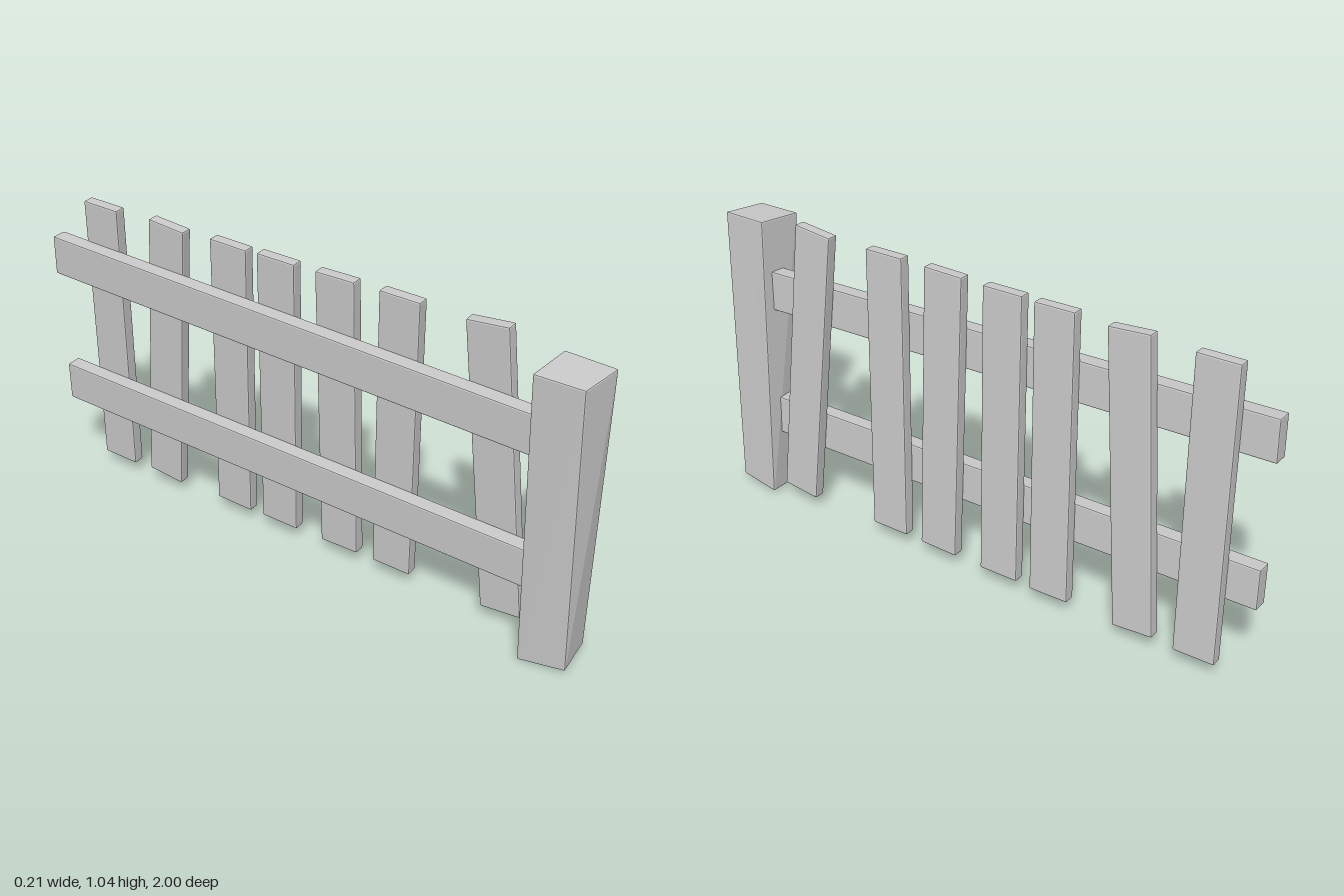
import * as THREE from 'three';
import { RoundedBoxGeometry } from 'three/addons/geometries/RoundedBoxGeometry.js';

const material = new THREE.MeshStandardMaterial({ color: 0xcccccc, flatShading: true });
const v = (x, y, z) => new THREE.Vector3(x, y, z);

// Soft-edged board running between two end centres; hint gives its width direction
function board(name, from, to, width, thickness, hint) {
  const along = to.clone().sub(from);
  const length = along.length();
  along.normalize();
  const across = along.clone().cross(hint).normalize();
  const side = across.clone().cross(along);
  const mesh = new THREE.Mesh(new RoundedBoxGeometry(thickness, length, width, 1, 0.005), material);
  mesh.name = name;
  mesh.quaternion.setFromRotationMatrix(new THREE.Matrix4().makeBasis(across, along, side));
  mesh.position.copy(from).add(to).multiplyScalar(0.5);
  return mesh;
}

// Post: a box skewed and twisted between a bottom and a top quad
// (corner order: back left, back right, front left, front right, by x then z)
function post(bottom, top) {
  const w = 0.155, h = 1;
  const geo = new RoundedBoxGeometry(w, h, w, 1, 0.005);
  const pos = geo.attributes.position;
  const onQuad = (q, a, b) =>
    q[0].clone().lerp(q[1], a).lerp(q[2].clone().lerp(q[3], a), b);
  for (let i = 0; i < pos.count; i++) {
    const a = pos.getX(i) / w + 0.5, t = pos.getY(i) / h + 0.5, b = pos.getZ(i) / w + 0.5;
    const p = onQuad(bottom, a, b).lerp(onQuad(top, a, b), t);
    pos.setXYZ(i, p.x, p.y, p.z);
  }
  geo.computeVertexNormals();
  const mesh = new THREE.Mesh(geo, material);
  mesh.name = 'post';
  return mesh;
}

export function createModel() {
  const fence = new THREE.Group();
  fence.name = 'fence';

  // Leaning corner post
  fence.add(post(
    [v(-0.06, 0, 0.83), v(0.107, 0.015, 0.82), v(-0.046, 0.018, 0.982), v(0.093, 0.027, 0.972)],
    [v(-0.108, 0.998, 0.82), v(0.042, 1.01, 0.838), v(-0.106, 0.996, 0.975), v(0.036, 1.006, 1)],
  ));

  // Two rails, rising towards the back
  const lean = v(-0.04, 1, 0);
  fence.add(board('upperRail', v(-0.003, 0.758, 0.845), v(0, 0.83, -0.997), 0.137, 0.052, lean));
  fence.add(board('lowerRail', v(0.014, 0.294, 0.845), v(0.017, 0.342, -0.997), 0.137, 0.052, lean));

  // Crooked pickets: [z at bottom, z at top]
  const pickets = [
    [0.707, 0.615], [0.31, 0.33], [0.11, 0.105], [-0.13, -0.11],
    [-0.32, -0.29], [-0.625, -0.535], [-0.835, -0.81],
  ];
  const group = new THREE.Group();
  group.name = 'pickets';
  pickets.forEach(([zb, zt], i) => {
    group.add(board(`picket${i + 1}`, v(0.07, 0.052, zb), v(0.031, 1.037, zt), 0.139, 0.039, v(0, 0, 1)));
  });
  fence.add(group);
  return fence;
}
